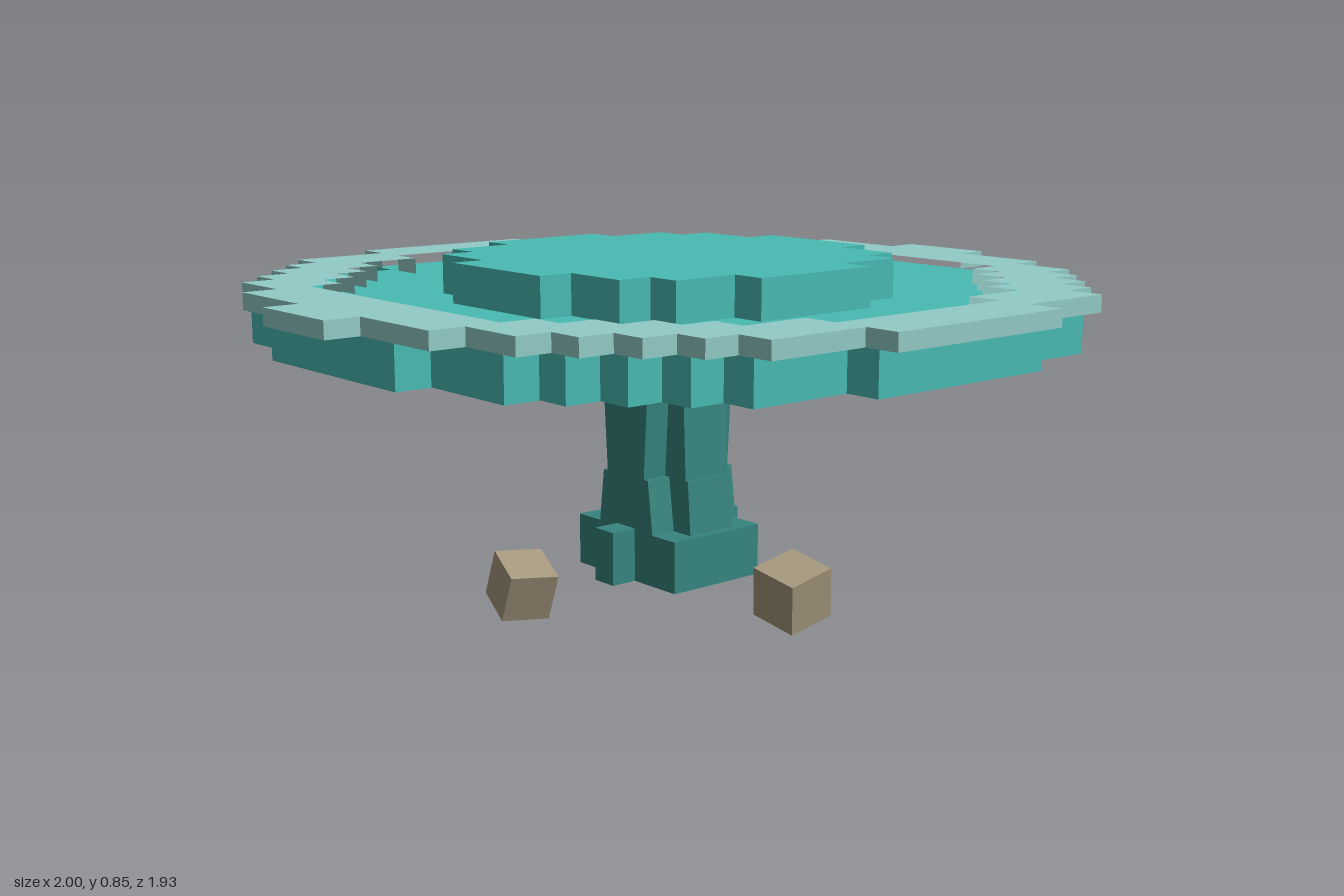
import * as THREE from 'three';

const mat = (name, color) => {
  const m = new THREE.MeshStandardMaterial({ color });
  m.name = name;
  return m;
};

// Full outline from the stepped corners [x, z] of one quarter
function steppedPoints(corners) {
  const q = [];
  corners.forEach(([x, z], i) => {
    if (i > 0) q.push([corners[i - 1][0], z]);
    q.push([x, z]);
  });
  const mirror = (sx, sz) => q.map(([x, z]) => new THREE.Vector2(x * sx, z * sz));
  return [...mirror(1, 1), ...mirror(1, -1).reverse(), ...mirror(-1, -1), ...mirror(-1, 1).reverse()];
}

// Horizontal slab between two heights, with an optional stepped hole
function slab(corners, y0, y1, hole) {
  const shape = new THREE.Shape(steppedPoints(corners));
  if (hole) shape.holes.push(new THREE.Path(steppedPoints(hole)));
  const g = new THREE.ExtrudeGeometry(shape, { depth: y1 - y0, bevelEnabled: false });
  g.rotateX(-Math.PI / 2);
  g.translate(0, y0, 0);
  return g;
}

// Upright plate: half-depth profile [z, y] mirrored in z, given width in x
function plate(profile, width) {
  const right = profile.map(([z, y]) => new THREE.Vector2(z, y));
  const left = profile.map(([z, y]) => new THREE.Vector2(-z, y)).reverse();
  const g = new THREE.ExtrudeGeometry(new THREE.Shape([...right, ...left]), { depth: width, bevelEnabled: false });
  g.translate(0, 0, -width / 2);
  g.rotateY(Math.PI / 2);
  return g;
}

export function createModel() {
  const model = new THREE.Group();
  const teal = mat('teal', 0x48bab3);
  const pale = mat('pale teal', 0x92cbc6);
  const dark = mat('dark teal', 0x36857f);
  const stone = mat('stone', 0xa5977d);

  const add = (name, geometry, material, parent = model) => {
    const mesh = new THREE.Mesh(geometry, material);
    mesh.name = name;
    parent.add(mesh);
    return mesh;
  };

  // Cap: body, pale rim and raised crown
  const body = [[0.25, 0.917], [0.5, 0.833], [0.583, 0.75], [0.667, 0.667], [0.75, 0.583], [0.833, 0.5], [0.917, 0.25]];
  const rim = [[0.25, 0.965], [0.5, 0.88], [0.583, 0.79], [0.667, 0.71], [0.75, 0.625], [0.833, 0.54], [0.917, 0.375], [1, 0.125]];
  const rimHole = [[0.25, 0.8], [0.417, 0.715], [0.5, 0.63], [0.583, 0.545], [0.667, 0.46], [0.75, 0.375]];
  const crown = [[0.167, 0.5], [0.333, 0.417], [0.417, 0.333], [0.5, 0.167]];
  add('capBody', slab(body, 0.665, 0.762, null), teal);
  add('capRim', slab(rim, 0.762, 0.802, rimHole), pale);
  add('capCrown', slab(crown, 0.762, 0.855, null), teal);

  // Stem: a deep narrow plate crossed by a shallow wide one
  const stem = new THREE.Group();
  stem.name = 'stem';
  model.add(stem);
  add('stemCore', plate([
    [0.16, 0.2], [0.15, 0.335], [0.142, 0.335], [0.134, 0.535],
    [0.147, 0.535], [0.147, 0.6], [0.16, 0.6], [0.16, 0.665],
  ], 0.133), dark, stem);
  add('stemSides', plate([
    [0.1, 0.2], [0.083, 0.335], [0.068, 0.335], [0.085, 0.6], [0.1, 0.6], [0.1, 0.665],
  ], 0.266), dark, stem);

  // Stem base with a small block on each side
  add('stemBase', new THREE.BoxGeometry(0.266, 0.125, 0.36).translate(0, 0.1425, 0), dark, stem);
  for (const s of [-1, 1]) {
    add('baseBlock', new THREE.BoxGeometry(0.067, 0.13, 0.067).translate(s * 0.1665, 0.145, 0), dark, stem);
  }

  // Loose tumbled stones: position, rotation, size
  const stones = [
    [[-0.392, 0.097, -0.07], [0.35, -0.25, 0], 0.118],
    [[0.08, 0.085, 0.355], [0.17, 0.03, 0.18], 0.128],
    [[0.25, 0.12, -0.2], [-0.5, 0.1, -0.55], 0.132],
  ];
  for (const [p, r, size] of stones) {
    const block = add('stone', new THREE.BoxGeometry(size, size, size), stone);
    block.position.set(...p);
    block.rotation.set(...r);
  }
  return model;
}
